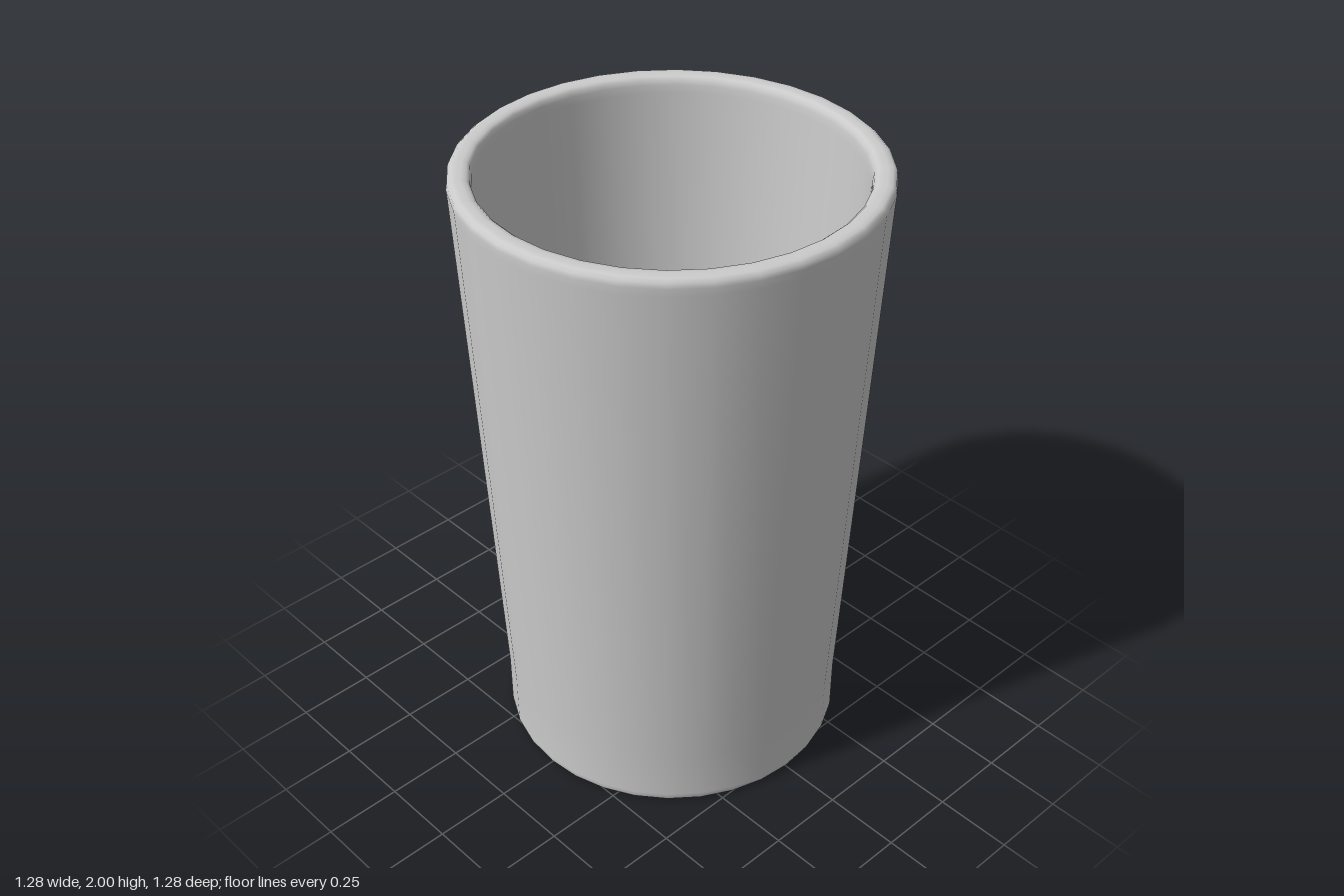
import * as THREE from 'three';

export function createModel() {
  const group = new THREE.Group();
  const material = new THREE.MeshStandardMaterial({ color: 0xcccccc });

  // One closed profile: underside, outer wall, rounded rim, inner wall, floor
  const profile = [
    // underside and bottom bevel
    [0, 0], [0.525, 0], [0.535, 0.001], [0.544, 0.006], [0.548, 0.016],
    // straight foot, then the flaring wall
    [0.549, 0.03], [0.55, 0.2], [0.637, 1.95],
    // rounded rim
    [0.639, 1.975], [0.636, 1.99], [0.625, 1.999], [0.61, 2],
    [0.595, 2], [0.581, 1.998], [0.572, 1.99], [0.568, 1.975],
    // inner wall and rounded floor edge
    [0.566, 1.95], [0.477, 0.2], [0.473, 0.175], [0.462, 0.158],
    [0.445, 0.15], [0.42, 0.15], [0, 0.15],
  ].map(([r, y]) => new THREE.Vector2(r, y));

  const cup = new THREE.Mesh(new THREE.LatheGeometry(profile, 32), material);
  cup.name = 'cup';
  group.add(cup);
  return group;
}
